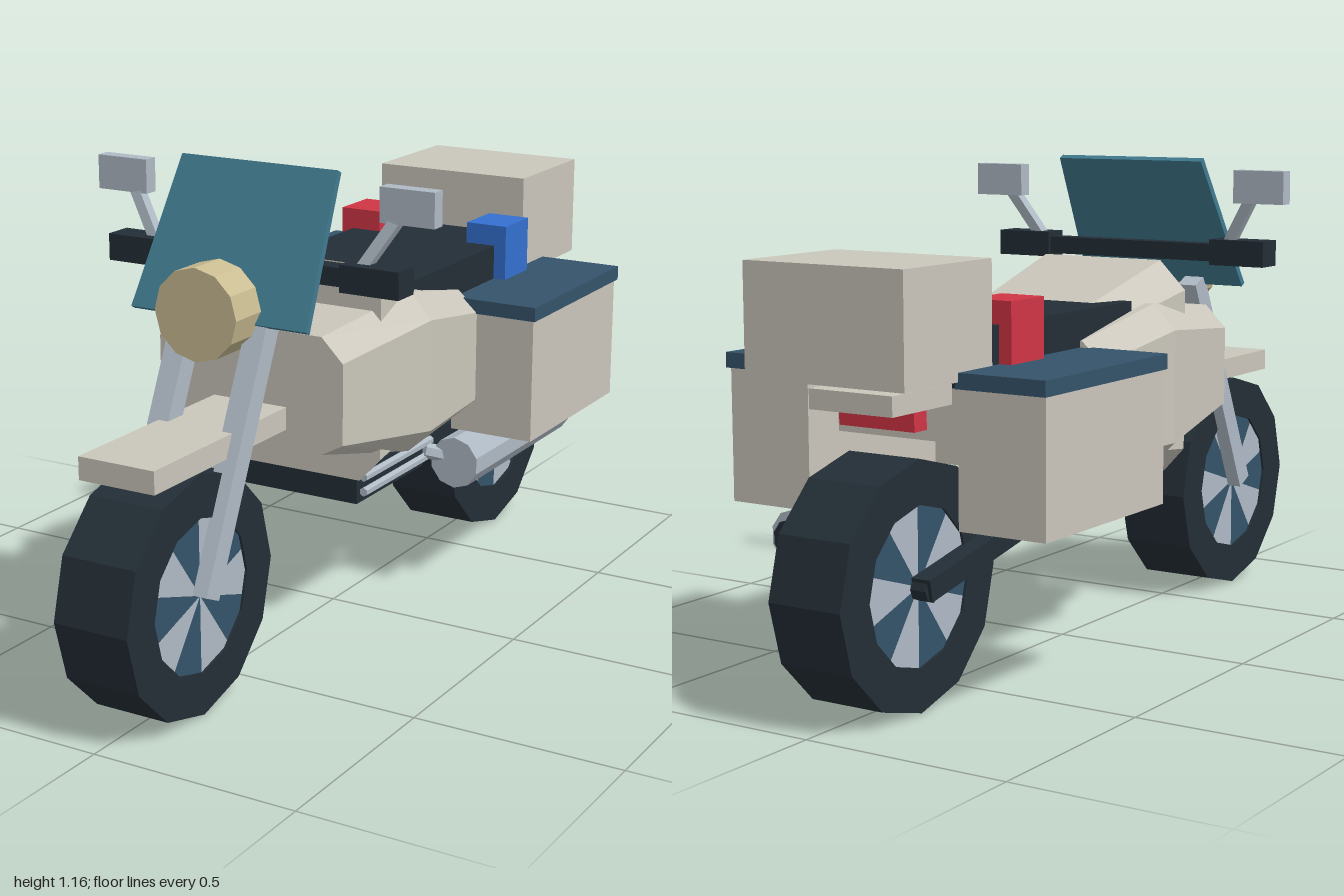
import * as THREE from 'three';

const paint = (name, color) => {
  const m = new THREE.MeshStandardMaterial({ color });
  m.name = name;
  return m;
};

export function createModel() {
  const cream = paint('cream', 0xcac6bb), dark = paint('charcoal', 0x232e36);
  const silver = paint('silver', 0xafbac5), navy = paint('slate blue', 0x35536a);
  const teal = paint('teal', 0x3f788d), tan = paint('tan', 0xcabd93);
  const red = paint('red', 0xd03545), blue = paint('blue', 0x3570cf);
  const model = new THREE.Group();
  model.name = 'motorcycle';

  // Faceted mesh: every face gets its own normal
  const add = (name, geometry, material, parent = model) => {
    const g = geometry.index ? geometry.toNonIndexed() : geometry;
    g.computeVertexNormals();
    const mesh = new THREE.Mesh(g, material);
    mesh.name = name;
    parent.add(mesh);
    return mesh;
  };
  // Box given by its limits
  const box = (name, mat, x0, x1, y0, y1, z0, z1) =>
    add(name, new THREE.BoxGeometry(Math.abs(x1 - x0), y1 - y0, z1 - z0), mat)
      .position.set((x0 + x1) / 2, (y0 + y1) / 2, (z0 + z1) / 2);
  // Bar between two points, square or round
  const bar = (name, mat, a, b, w, sides = 0) => {
    const p = new THREE.Vector3(...a), q = new THREE.Vector3(...b);
    const len = p.distanceTo(q);
    const mesh = add(name, sides ? new THREE.CylinderGeometry(w / 2, w / 2, len, sides)
      : new THREE.BoxGeometry(w, len, w), mat);
    mesh.position.copy(p).add(q).multiplyScalar(0.5);
    mesh.quaternion.setFromUnitVectors(new THREE.Vector3(0, 1, 0), q.sub(p).normalize());
  };
  // Symmetric hull through half sections [z, [x, y] from top to bottom], front to back
  const loft = (name, mat, sections) => {
    const rings = sections.map(([z, half]) => [
      ...half.map(([x, y]) => [x, y, z]),
      ...half.map(([x, y]) => [-x, y, z]).reverse()]);
    const n = rings[0].length, out = [];
    const tri = (...pts) => pts.forEach(p => out.push(...p));
    for (let s = 0; s < rings.length - 1; s++) {
      const a = rings[s], b = rings[s + 1];
      for (let i = 0; i < n; i++) {
        const j = (i + 1) % n;
        tri(a[i], a[j], b[j]);
        tri(a[i], b[j], b[i]);
      }
    }
    const f = rings[0], r = rings[rings.length - 1];
    for (let i = 1; i < n - 1; i++) {
      tri(f[0], f[i + 1], f[i]);
      tri(r[0], r[i], r[i + 1]);
    }
    const g = new THREE.BufferGeometry();
    g.setAttribute('position', new THREE.Float32BufferAttribute(out, 3));
    return add(name, g, mat);
  };

  // Wheels: twelve-sided tyre around a disc of alternating sectors
  for (const [name, z] of [['frontWheel', 0.72], ['rearWheel', -0.72]]) {
    const wheel = new THREE.Group();
    wheel.name = name;
    wheel.position.set(0, 0.28, z);
    wheel.rotation.z = Math.PI / 2;
    model.add(wheel);
    const profile = [[0.18, -0.094], [0.28, -0.094], [0.28, 0.094], [0.18, 0.094], [0.18, -0.094]];
    add('tyre', new THREE.LatheGeometry(profile.map(p => new THREE.Vector2(...p)), 12), dark, wheel);
    for (let i = 0; i < 10; i++) {
      add('wheelSector', new THREE.CylinderGeometry(0.183, 0.183, 0.176, 2, 1, false,
        Math.PI * (0.3 + 0.2 * i), Math.PI * 0.2), i % 2 ? silver : navy, wheel);
    }
  }
  bar('rearAxle', dark, [-0.128, 0.28, -0.72], [0.128, 0.28, -0.72], 0.06, 8);

  // Fairing and tank
  loft('fairing', cream, [
    [0.375, [[0.19, 0.795], [0.245, 0.74], [0.245, 0.55], [0.19, 0.52]]],
    [0.04, [[0.23, 0.83], [0.29, 0.77], [0.29, 0.5], [0.23, 0.44]]],
    [-0.25, [[0.21, 0.77], [0.265, 0.72], [0.265, 0.5], [0.21, 0.45]]]]);
  loft('tank', cream, [
    [0.185, [[0.165, 0.92], [0.235, 0.85], [0.235, 0.46], [0.18, 0.4]]],
    [-0.25, [[0.14, 0.8], [0.2, 0.76], [0.2, 0.5], [0.15, 0.46]]]]);

  // Seat, tail and luggage
  box('seat', dark, -0.205, 0.205, 0.7, 0.84, -0.62, -0.02);
  box('rearBody', cream, -0.2, 0.2, 0.58, 0.7, -0.62, -0.24);
  box('rearFender', cream, -0.11, 0.11, 0.665, 0.71, -0.835, -0.4);
  box('tailLight', red, -0.1, 0.1, 0.62, 0.665, -0.745, -0.7);
  box('topCase', cream, -0.208, 0.208, 0.735, 0.985, -0.925, -0.61);

  // Front fender and headlight
  box('frontFender', cream, -0.097, 0.097, 0.565, 0.618, 0.37, 0.893);
  const lamp = add('headlight', new THREE.CylinderGeometry(0.106, 0.106, 0.1, 12), tan);
  lamp.rotation.x = Math.PI / 2;
  lamp.position.set(0, 0.868, 0.54);

  // Sloped windshield
  const pane = new THREE.Shape([[-0.23, 0], [0.23, 0], [0.205, 0.368], [-0.205, 0.368]]
    .map(p => new THREE.Vector2(...p)));
  const shield = add('windshield',
    new THREE.ExtrudeGeometry(pane, { depth: 0.016, bevelEnabled: false }), teal);
  shield.rotation.x = -0.506;
  shield.position.set(0, 0.833, 0.492);

  // Handlebar and engine
  box('handlebar', dark, -0.24, 0.24, 0.91, 0.953, 0.315, 0.36);
  box('engine', dark, -0.158, 0.158, 0.33, 0.405, -0.17, 0.16);
  box('engineBlock', dark, -0.125, 0.125, 0.4, 0.5, -0.22, 0.13);

  // Paired parts
  for (const s of [-1, 1]) {
    bar('forkLeg', silver, [s * 0.098, 0.28, 0.725], [s * 0.098, 0.845, 0.465], 0.053);
    box('grip', dark, s * 0.235, s * 0.383, 0.902, 0.965, 0.305, 0.375);
    bar('mirrorStalk', silver, [s * 0.265, 0.94, 0.34], [s * 0.355, 1.08, 0.308], 0.026);
    box('mirror', silver, s * 0.308, s * 0.443, 1.057, 1.137, 0.29, 0.326);
    box('saddlebag', cream, s * 0.2, s * 0.418, 0.415, 0.72, -0.727, -0.24);
    box('saddlebagLid', navy, s * 0.2, s * 0.424, 0.72, 0.755, -0.737, -0.235);
    box('beacon', s > 0 ? blue : red, s * 0.127, s * 0.237, 0.755, 0.892, -0.58, -0.452);
    bar('swingArm', dark, [s * 0.112, 0.4, -0.15], [s * 0.112, 0.28, -0.74], 0.05);
    for (const y of [0.357, 0.394]) {
      bar('exhaustPipe', silver, [s * 0.168, y, 0.145], [s * 0.168, y, -0.19], 0.022, 6);
    }
  }

  // Single muffler on the left side
  bar('mufflerLink', silver, [0.168, 0.375, -0.16], [0.24, 0.35, -0.22], 0.04, 6);
  bar('muffler', silver, [0.243, 0.35, -0.175], [0.243, 0.35, -0.73], 0.13, 10);
  bar('mufflerTip', dark, [0.243, 0.35, -0.72], [0.243, 0.35, -0.748], 0.09, 10);

  return model;
}
